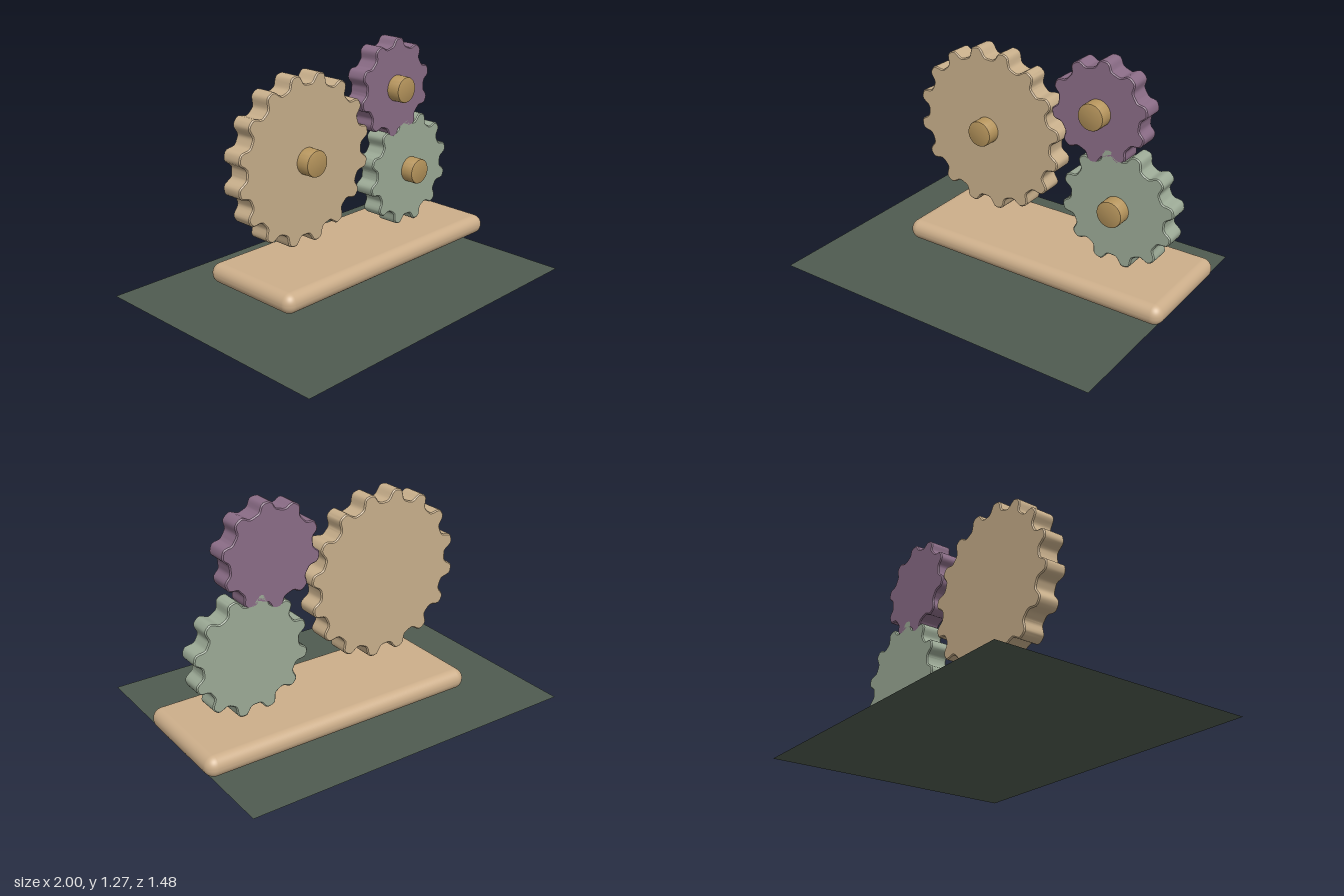
import * as THREE from 'three';
import { toCreasedNormals } from 'three/addons/utils/BufferGeometryUtils.js';
import { RoundedBoxGeometry } from 'three/addons/geometries/RoundedBoxGeometry.js';

const material = (name, color, side = THREE.FrontSide) => {
  const m = new THREE.MeshStandardMaterial({ color, side });
  m.name = name;
  return m;
};

const BACK = -0.19, FRONT = -0.065, PEG_FRONT = 0.012, BEVEL = 0.006;

// Spur gear with softly rounded teeth; phase is the angle of one tooth in degrees
function gearGeometry(teeth, root, tip, phase) {
  const steps = teeth * 18;
  const points = [];
  for (let i = 0; i < steps; i++) {
    const a = (i / steps) * Math.PI * 2;
    const wave = Math.tanh(2 * (Math.cos(a * teeth) - 0.12));
    const r = (root + tip) / 2 + ((tip - root) / 2) * wave;
    const angle = a + THREE.MathUtils.degToRad(phase);
    points.push(new THREE.Vector2(r * Math.cos(angle), r * Math.sin(angle)));
  }
  const geometry = new THREE.ExtrudeGeometry(new THREE.Shape(points), {
    depth: FRONT - BACK - 2 * BEVEL,
    bevelSize: BEVEL, bevelThickness: BEVEL, bevelOffset: -BEVEL, bevelSegments: 1,
  });
  geometry.translate(0, 0, BACK + BEVEL);
  return toCreasedNormals(geometry, 0.65);
}

// Axle peg with a slightly rounded front edge
function pegGeometry() {
  const r = 0.073, start = FRONT - 0.03, b = 0.008;
  const profile = [
    [0, start], [r, start], [r, PEG_FRONT - b],
    [r - b * 0.3, PEG_FRONT - b * 0.3], [r - b, PEG_FRONT], [0, PEG_FRONT],
  ].map(([x, y]) => new THREE.Vector2(x, y));
  const geometry = new THREE.LatheGeometry(profile, 40);
  geometry.rotateX(Math.PI / 2);
  return toCreasedNormals(geometry, 0.6);
}

export function createModel() {
  const model = new THREE.Group();
  model.name = 'gearDisplay';

  const baseTan = material('base tan', 0xccae8a);
  const gearTan = material('gear tan', 0xc8af8b);
  const mauve = material('mauve', 0x8a6c86);
  const sage = material('sage green', 0x9caa96);
  const brass = material('brass', 0xb4935b);
  const ground = material('dark green', 0x4f5b50, THREE.DoubleSide);

  const add = (name, geometry, mat, parent = model) => {
    const mesh = new THREE.Mesh(geometry, mat);
    mesh.name = name;
    parent.add(mesh);
    return mesh;
  };

  // Flat mat beneath everything
  const mat = add('floorMat', new THREE.PlaneGeometry(1.94, 1.484), ground);
  mat.rotation.x = -Math.PI / 2;
  mat.position.set(-0.03, 0, 0);

  // Rounded slab
  const slab = add('baseSlab', new RoundedBoxGeometry(1.605, 0.114, 0.632, 6, 0.055), baseTan);
  slab.position.set(0.1975, 0.103, -0.129);

  // Three meshing gears, each with a peg
  const peg = pegGeometry();
  const gears = [
    { name: 'largeGear', x: -0.224, y: 0.73, teeth: 16, root: 0.407, tip: 0.467, phase: 9, mat: gearTan },
    { name: 'smallGear', x: 0.466, y: 0.995, teeth: 10, root: 0.236, tip: 0.281, phase: 13, mat: mauve },
    { name: 'mediumGear', x: 0.594, y: 0.491, teeth: 12, root: 0.275, tip: 0.33, phase: 12, mat: sage },
  ];
  for (const g of gears) {
    const group = new THREE.Group();
    group.name = g.name;
    group.position.set(g.x, g.y, 0);
    add(g.name + 'Wheel', gearGeometry(g.teeth, g.root, g.tip, g.phase), g.mat, group);
    add(g.name + 'Peg', peg, brass, group);
    model.add(group);
  }
  return model;
}
